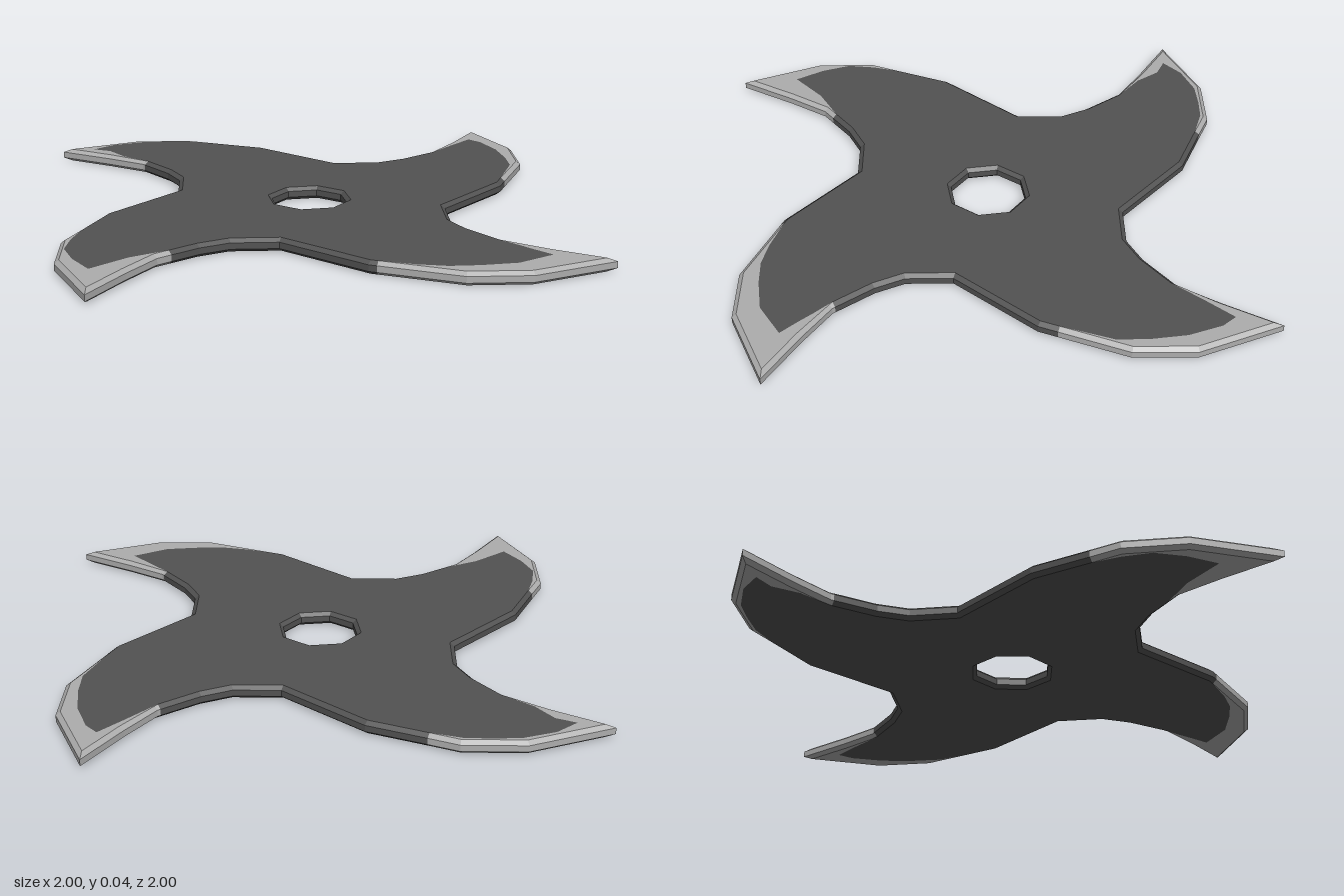
import * as THREE from 'three';

const HEIGHT = 0.042, BEVEL = 0.014;

// one blade in plan [x, z]: inner edge, tip, outer edge (the other blades are quarter turns)
const INNER = [[-0.31, -0.315], [-0.235, -0.44], [-0.225, -0.54]];
const POINT = [[-0.24, -0.69], [-0.305, -0.825], [-0.4, -1], [-0.12, -0.96], [0.045, -0.86]];
const OUTER = [[0.215, -0.625]];

// where the bare steel begins on both edges, and its worn border across the blade
const WEAR = [
  { start: [-0.239, -0.68], end: [0.102, -0.78],
    border: [[-0.265, -0.79], [-0.272, -0.88], [-0.31, -0.935], [-0.225, -0.95], [-0.12, -0.93], [-0.045, -0.89], [0.025, -0.845]] },
  { start: [-0.239, -0.68], end: [0.178, -0.676],
    border: [[-0.265, -0.805], [-0.295, -0.905], [-0.24, -0.915], [-0.13, -0.895], [-0.025, -0.85], [0.06, -0.8]] },
  { start: [-0.239, -0.68], end: [0.2, -0.646],
    border: [[-0.24, -0.75], [-0.25, -0.805], [-0.265, -0.875], [-0.135, -0.875], [-0.03, -0.83], [0.05, -0.785], [0.115, -0.725]] },
  { start: [-0.235, -0.64], end: [0.102, -0.78],
    border: [[-0.215, -0.77], [-0.24, -0.91], [-0.135, -0.91], [-0.04, -0.89], [0.03, -0.835]] },
];

// quarter turns, clockwise from above
function turn([x, z], k) {
  for (let i = 0; i < k; i++) [x, z] = [-z, x];
  return [x, z];
}

// mitred offset of a closed ring to the right of its travel
function inset(ring, d) {
  const n = ring.length;
  const normal = (a, b) => {
    const l = Math.hypot(b[0] - a[0], b[1] - a[1]);
    return [-(b[1] - a[1]) / l, (b[0] - a[0]) / l];
  };
  return ring.map((p, i) => {
    const u = normal(ring[(i + n - 1) % n], p), v = normal(p, ring[(i + 1) % n]);
    const s = d / (1 + u[0] * v[0] + u[1] * v[1]);
    return [p[0] + (u[0] + v[0]) * s, p[1] + (u[1] + v[1]) * s];
  });
}

// bevelled rim along the chosen edges of a ring
function rimGeometry(ring, inner, edges) {
  const pos = [], n = ring.length;
  const levels = [[inner, 0], [ring, 0.011], [ring, HEIGHT - 0.011], [inner, HEIGHT]];
  for (const i of edges) {
    const j = (i + 1) % n;
    for (let k = 0; k < 3; k++) {
      const [lo, y0] = levels[k], [hi, y1] = levels[k + 1];
      const a = [lo[i][0], y0, lo[i][1]], b = [hi[i][0], y1, hi[i][1]];
      const c = [hi[j][0], y1, hi[j][1]], d = [lo[j][0], y0, lo[j][1]];
      pos.push(...a, ...b, ...c, ...a, ...c, ...d);
    }
  }
  const g = new THREE.BufferGeometry();
  g.setAttribute('position', new THREE.Float32BufferAttribute(pos, 3));
  g.computeVertexNormals();
  return g;
}

// flat face, on the top or the underside
function faceGeometry(points, hole, top) {
  const s = top ? -1 : 1;
  const flat = (list) => list.map(([x, z]) => new THREE.Vector2(x, s * z));
  const shape = new THREE.Shape(flat(points));
  if (hole) shape.holes.push(new THREE.Path(flat(hole)));
  return new THREE.ShapeGeometry(shape).rotateX(s * Math.PI / 2).translate(0, top ? HEIGHT : 0, 0);
}

export function createModel() {
  const group = new THREE.Group();
  const dark = new THREE.MeshStandardMaterial({ color: 0x525252 });
  dark.name = 'darkCoating';
  const steel = new THREE.MeshStandardMaterial({ color: 0xadadad });
  steel.name = 'bareSteel';
  const add = (name, geometry, material) => {
    const mesh = new THREE.Mesh(geometry, material);
    mesh.name = name;
    group.add(mesh);
  };

  // full outline, with extra points where the colour changes
  const outline = [];
  WEAR.forEach((w, k) => {
    for (const p of [...INNER, w.start, ...POINT, w.end, ...OUTER]) outline.push(turn(p, k));
  });
  const inner = inset(outline, BEVEL);
  const per = outline.length / 4, first = INNER.length, last = first + POINT.length + 1;

  // sort rim edges by colour and gather the dark face outline
  const darkEdges = [], body = [];
  WEAR.forEach((w, k) => {
    const base = k * per, tipEdges = [];
    for (let i = 0; i < per; i++) (i >= first && i < last ? tipEdges : darkEdges).push(base + i);
    const border = w.border.map((p) => turn(p, k));
    body.push(...inner.slice(base, base + first + 1), ...border, ...inner.slice(base + last, base + per));

    // bare steel blade tip
    const tip = [...inner.slice(base + first, base + last + 1), ...border.slice().reverse()];
    add('bladeTipRim', rimGeometry(outline, inner, tipEdges), steel);
    add('bladeTipTop', faceGeometry(tip, null, true), steel);
    add('bladeTipUnderside', faceGeometry(tip, null, false), steel);
  });

  // eight-sided centre hole, running the other way round
  const hole = Array.from({ length: 8 }, (_, i) => {
    const a = -i * Math.PI / 4;
    return [0.124 * Math.cos(a), 0.124 * Math.sin(a)];
  });
  const holeEdge = inset(hole, 0.012);

  // dark body
  add('bodyRim', rimGeometry(outline, inner, darkEdges), dark);
  add('centreHoleRim', rimGeometry(hole, holeEdge, hole.keys()), dark);
  add('bodyTop', faceGeometry(body, holeEdge, true), dark);
  add('bodyUnderside', faceGeometry(body, holeEdge, false), dark);
  return group;
}
